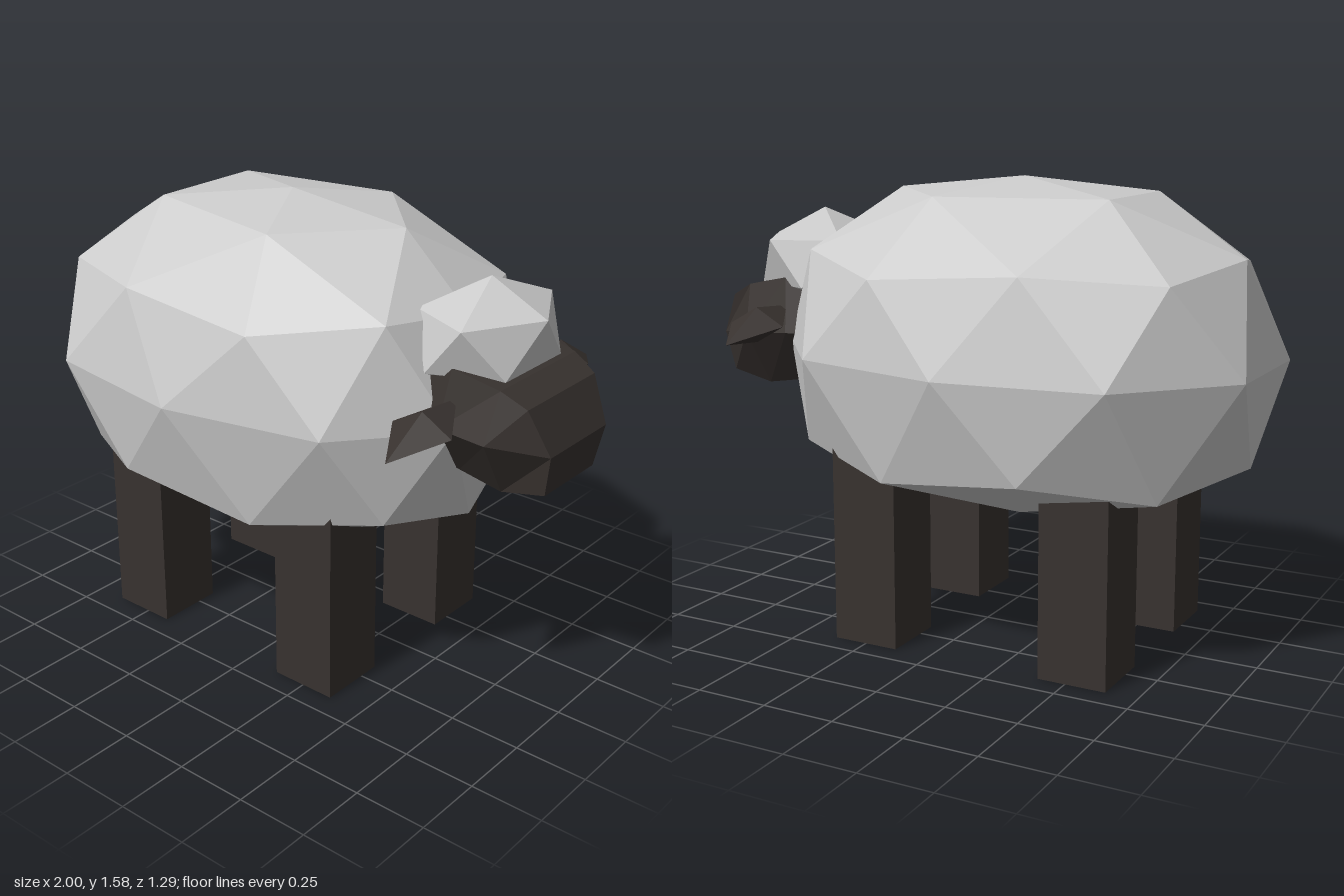
import * as THREE from 'three';

const wool = new THREE.MeshStandardMaterial({ color: 0xcccccc, flatShading: true });
const dark = new THREE.MeshStandardMaterial({ color: 0x38322f, flatShading: true });

// Moves every vertex of a geometry by a rule
function deform(geo, rule) {
  const p = geo.attributes.position;
  const v = new THREE.Vector3();
  for (let i = 0; i < p.count; i++) {
    v.fromBufferAttribute(p, i);
    rule(v);
    p.setXYZ(i, v.x, v.y, v.z);
  }
  geo.computeVertexNormals();
  return geo;
}

// Icosphere with a vertex at the top and its upper ring pointing along +x
function icosphere(detail) {
  const t = (1 + Math.sqrt(5)) / 2;
  return new THREE.IcosahedronGeometry(1, detail).rotateZ(-Math.atan(1 / t));
}

// Skin over six-cornered cross-section loops, with both ends capped
function loft(loops) {
  const n = 6;
  const index = [];
  for (let s = 0; s < loops.length - 1; s++) {
    for (let i = 0; i < n; i++) {
      const a = s * n + i, b = s * n + (i + 1) % n;
      index.push(a, b + n, b, a, a + n, b + n);
    }
  }
  // Each cap is an upper and a lower quad meeting at the middle corners
  const end = (loops.length - 1) * n;
  for (const [a, b, c] of [[0, 1, 2], [0, 2, 5], [5, 2, 3], [5, 3, 4]]) {
    index.push(a, b, c, end + a, end + c, end + b);
  }
  const geo = new THREE.BufferGeometry();
  geo.setAttribute('position', new THREE.Float32BufferAttribute(loops.flat(2), 3));
  geo.setIndex(index);
  const flat = geo.toNonIndexed();
  flat.computeVertexNormals();
  return flat;
}

export function createModel() {
  const group = new THREE.Group();
  const add = (name, geo, mat) => {
    const mesh = new THREE.Mesh(geo, mat);
    mesh.name = name;
    group.add(mesh);
    return mesh;
  };

  // Body: icosphere, fuller at the rear, with a flat belly
  const heights = [[1, 0.585], [0.851, 0.53], [0.526, 0.32], [0.447, 0.28], [0, 0],
    [-0.447, -0.32], [-0.526, -0.38], [-0.851, -0.47], [-1, -0.47]];
  add('body', deform(icosphere(1), (v) => {
    const { x, y, z } = v;
    const up = Math.max(y, 0);
    const [, h] = heights.find(([ring]) => Math.abs(ring - y) < 0.02);
    const lift = 0.15 * x * x * up * (1 - up);
    const slope = 0.2 * up * Math.max(x * x - 2.5 * z * z, -0.4);
    const sx = x > 0 ? 0.98 - 0.13 * x * x - slope : 0.94 - 0.04 * x * x;
    const sz = 0.645 * (1 - 0.14 * Math.min(x, 0));
    v.set(-0.14 + x * sx, 0.99 + h + lift, z * sz);
  }), wool);

  // Head: six-sided sections from neck to muzzle,
  // each given as [x, y, half width] for top, middle and bottom
  const sections = [
    [[0.48, 1.19, 0.19], [0.48, 1.02, 0.23], [0.48, 0.87, 0.13]],
    [[0.68, 1.21, 0.225], [0.66, 1.02, 0.265], [0.66, 0.835, 0.135]],
    [[0.845, 1.175, 0.21], [0.83, 1.01, 0.265], [0.82, 0.81, 0.14]],
    [[0.93, 1.13, 0.19], [1.0, 0.985, 0.16], [0.975, 0.845, 0.14]],
  ];
  add('head', loft(sections.map(([t, m, b]) => [
    [t[0], t[1], t[2]], [t[0], t[1], -t[2]],
    [m[0], m[1], -m[2]], [b[0], b[1], -b[2]],
    [b[0], b[1], b[2]], [m[0], m[1], m[2]],
  ])), dark);

  // Tuft of wool on the head
  add('headWool', icosphere(0).scale(0.23, 0.18, 0.295).translate(0.66, 1.26, 0), wool);

  for (const side of [1, -1]) {
    // Ears: flat diamonds drooping outwards
    const ear = deform(new THREE.OctahedronGeometry(1), (v) => {
      v.set(0.69 + v.x * 0.108, 1.065 + v.y * 0.06 - side * v.z * 0.045, side * 0.385 + v.z * 0.175);
    });
    add(side > 0 ? 'rightEar' : 'leftEar', ear, dark);

    // Legs: square posts running up into the body
    for (const [name, x] of [['frontLeg', 0.25], ['backLeg', -0.522]]) {
      const leg = new THREE.BoxGeometry(0.238, 0.7, 0.24);
      add(name, leg, dark).position.set(x, 0.35, side * 0.298);
    }
  }
  return group;
}
